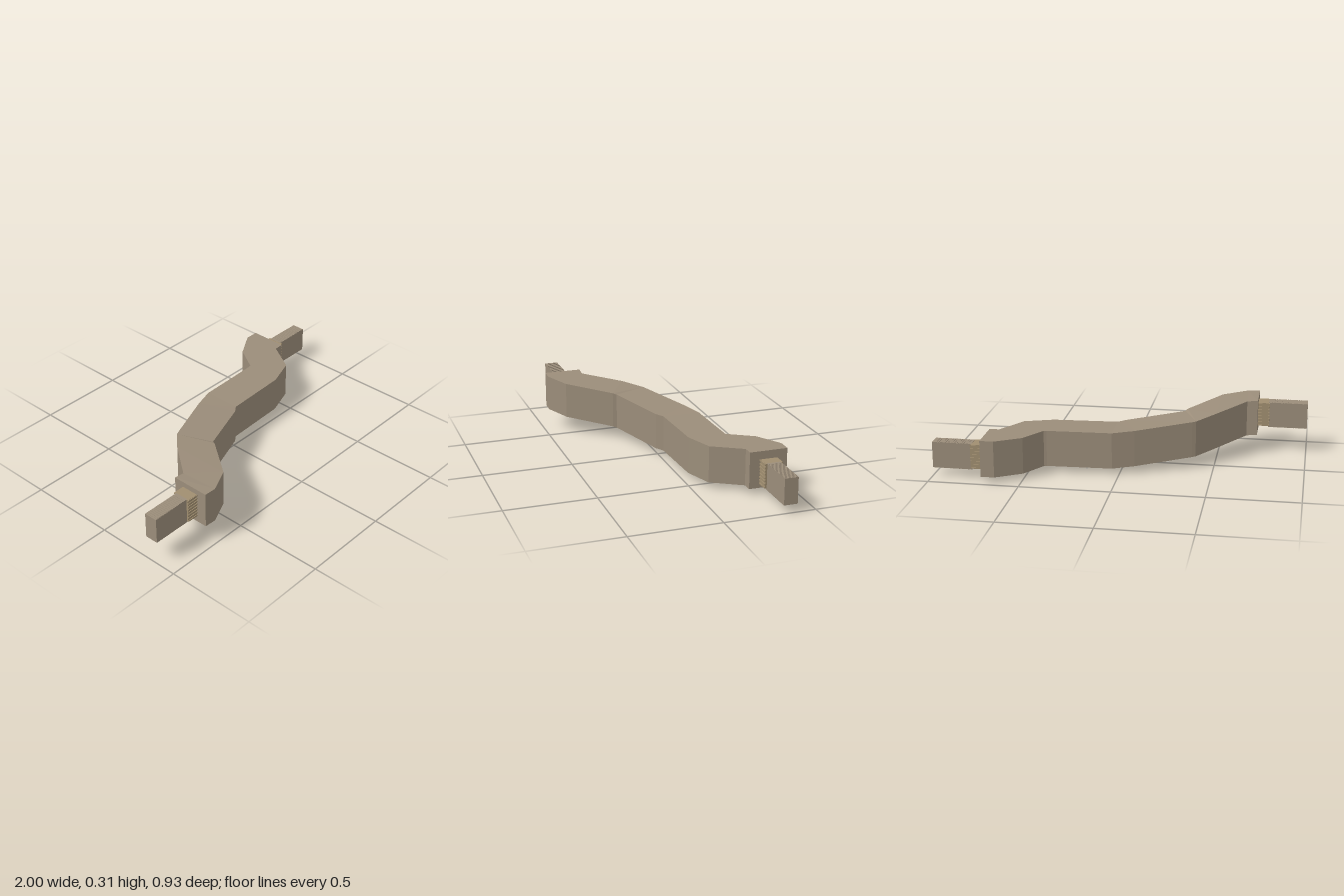
import * as THREE from 'three';

const bodyMat = new THREE.MeshStandardMaterial({ color: 0x9b8d7a, flatShading: true });
const plugMat = new THREE.MeshStandardMaterial({ color: 0xa08e70, flatShading: true });
const greyMat = new THREE.MeshStandardMaterial({ color: 0xcccccc, side: THREE.DoubleSide });

// Stations along the bar: back x, z, top y, then front x, z, top y
const stations = [
  [-0.72, 0.25, 0.313, -0.72, 0.46, 0.313],
  [-0.66, 0.25, 0.306, -0.65, 0.46, 0.31],
  [-0.50, 0.05, 0.286, -0.51, 0.39, 0.30],
  [-0.40, -0.05, 0.268, -0.33, 0.16, 0.274],
  [-0.38, -0.06, 0.266, -0.32, 0.14, 0.267],
  [-0.08, -0.19, 0.242, 0.00, 0.01, 0.238],
  [0.04, -0.23, 0.235, 0.04, -0.02, 0.235],
  [0.40, -0.24, 0.234, 0.40, -0.035, 0.234],
  [0.415, -0.243, 0.234, 0.56, -0.09, 0.234],
  [0.50, -0.38, 0.234, 0.66, -0.255, 0.234],
  [0.64, -0.465, 0.234, 0.67, -0.255, 0.234],
  [0.715, -0.465, 0.234, 0.715, -0.255, 0.234],
];
const thickness = 0.203;

// Rectangular section swept through the stations, with end caps
function barGeometry() {
  const pos = [];
  const quad = (a, b, c, d) => pos.push(...a, ...b, ...c, ...a, ...c, ...d);
  const rings = stations.map(([bx, bz, by, fx, fz, fy]) => [
    [bx, by - thickness, bz], [bx, by, bz], [fx, fy, fz], [fx, fy - thickness, fz],
  ]);
  for (let i = 0; i < rings.length - 1; i++) {
    for (let k = 0; k < 4; k++) {
      const n = (k + 1) % 4;
      quad(rings[i][k], rings[i][n], rings[i + 1][n], rings[i + 1][k]);
    }
  }
  const s = rings[0], e = rings[rings.length - 1];
  quad(s[0], s[3], s[2], s[1]);
  quad(e[0], e[1], e[2], e[3]);
  const geo = new THREE.BufferGeometry();
  geo.setAttribute('position', new THREE.Float32BufferAttribute(pos, 3));
  geo.computeVertexNormals();
  return geo;
}

function box(parent, name, mat, size, at) {
  const mesh = new THREE.Mesh(new THREE.BoxGeometry(...size), mat);
  mesh.name = name;
  mesh.position.set(...at);
  parent.add(mesh);
}

// Plug pointing along +x from its mounting face: ribbed neck and flat blade
function plug(name) {
  const g = new THREE.Group();
  g.name = name;
  box(g, 'neck', plugMat, [0.075, 0.136, 0.092], [0.0325, 0, 0]);
  for (let i = 0; i < 8; i++) {
    box(g, 'neckRib', plugMat, [0.07, 0.008, 0.1], [0.035, -0.063 + i * 0.018, 0]);
  }
  box(g, 'blade', bodyMat, [0.22, 0.145, 0.075], [0.175, -0.003, 0]);
  // fine ridges across the top and bottom of the blade
  for (let i = 0; i < 16; i++) {
    box(g, 'bladeRidge', bodyMat, [0.006, 0.148, 0.073], [0.085 + i * 0.0126, -0.003, 0]);
  }
  return g;
}

// Thin tapered tab hanging below the bar
function tab(x, y, z, angle) {
  const s = new THREE.Shape();
  s.moveTo(-0.086, 0.035);
  s.lineTo(-0.045, 0);
  s.lineTo(0.045, 0);
  s.lineTo(0.086, 0.035);
  const mesh = new THREE.Mesh(new THREE.ShapeGeometry(s), greyMat);
  mesh.name = 'undersideTab';
  mesh.position.set(x, y, z);
  mesh.rotation.y = angle;
  return mesh;
}

export function createModel() {
  const model = new THREE.Group();
  model.name = 'bentBar';
  const bar = new THREE.Mesh(barGeometry(), bodyMat);
  bar.name = 'bar';
  model.add(bar);

  const left = plug('leftPlug');
  left.position.set(0.715, 0.121, -0.36);
  const right = plug('rightPlug');
  right.position.set(-0.715, 0.215, 0.354);
  right.rotation.y = Math.PI;
  model.add(left, right);

  model.add(tab(0.19, 0, -0.125, Math.PI / 2));
  model.add(tab(-0.23, 0.022, -0.008, Math.PI / 2 + 0.4 - Math.PI));
  return model;
}
